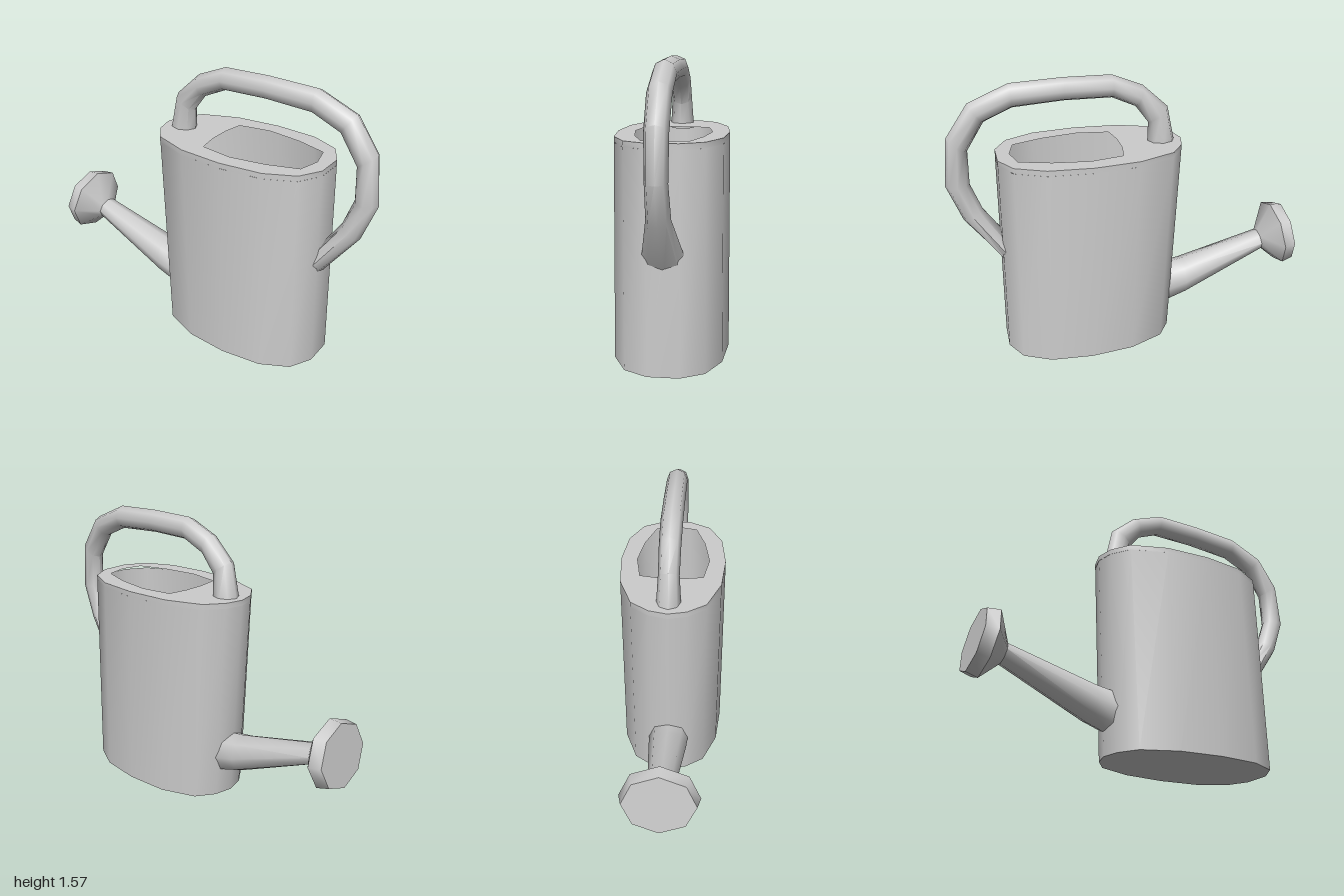
import * as THREE from 'three';
import { toCreasedNormals } from 'three/addons/utils/BufferGeometryUtils.js';

const CREASE = 0.9;

// Skin a list of rings (counter-clockwise seen from the far end), with flat caps
function loft(rings, capStart, capEnd) {
  const pos = [];
  const tri = (...pts) => pts.forEach((p) => pos.push(p.x, p.y, p.z));
  const n = rings[0].length;
  for (let i = 0; i < rings.length - 1; i++) {
    for (let j = 0; j < n; j++) {
      const k = (j + 1) % n;
      const a = rings[i][j], b = rings[i][k], c = rings[i + 1][k], d = rings[i + 1][j];
      tri(a, b, c);
      tri(a, c, d);
    }
  }
  const cap = (ring, flip) => {
    const mid = new THREE.Vector3();
    ring.forEach((p) => mid.addScaledVector(p, 1 / n));
    ring.forEach((p, j) => {
      const q = ring[(j + 1) % n];
      if (flip) tri(mid, q, p);
      else tri(mid, p, q);
    });
  };
  if (capStart) cap(rings[0], true);
  if (capEnd) cap(rings[rings.length - 1], false);
  const g = new THREE.BufferGeometry();
  g.setAttribute('position', new THREE.Float32BufferAttribute(pos, 3));
  return toCreasedNormals(g, CREASE);
}

// Elliptical ring spanning two points of the side silhouette, w = half width in z
function ring([x1, y1, x2, y2, w], sides = 8) {
  return Array.from({ length: sides }, (_, i) => {
    const a = (i / sides) * Math.PI * 2;
    const c = Math.cos(a) / 2;
    return new THREE.Vector3(
      (x1 + x2) / 2 + (x1 - x2) * c,
      (y1 + y2) / 2 + (y1 - y2) * c,
      w * Math.sin(a)
    );
  });
}

// Close a half outline by mirroring it in z
function mirrored(half) {
  const back = half.filter(([, z]) => z > 0).reverse().map(([x, z]) => [x, -z]);
  return [...half, ...back];
}

export function createModel() {
  const model = new THREE.Group();
  const grey = new THREE.MeshStandardMaterial({ color: 0xcccccc });
  const greyDouble = new THREE.MeshStandardMaterial({ color: 0xcccccc, side: THREE.DoubleSide });
  const add = (name, geometry, material = grey) => {
    const mesh = new THREE.Mesh(geometry, material);
    mesh.name = name;
    model.add(mesh);
  };

  // Body: oval can, slightly wider and shorter at the base, hollow inside
  const height = 1.17, lidThickness = 0.03;
  const outline = mirrored([
    [-0.3, 0], [-0.275, 0.1], [-0.2, 0.2], [0, 0.275], [0.25, 0.297],
    [0.49, 0.275], [0.65, 0.2], [0.72, 0.08],
  ]);
  const bodyRing = (y) => {
    const t = 1 - y / height;
    return outline.map(([x, z]) => new THREE.Vector3(
      x + t * (0.06 - 0.04 * (x + 0.3)), y, z * (1 + 0.03 * t)));
  };
  add('body', loft([bodyRing(0), bodyRing(height - lidThickness)], true, false), greyDouble);

  // Lid: flat plate with the filling opening
  const toPoints = (list) => list.map(([x, z]) => new THREE.Vector2(x, z));
  const lidShape = new THREE.Shape(toPoints(outline));
  lidShape.holes.push(new THREE.Path(toPoints(mirrored([
    [0.05, 0.06], [0.07, 0.175], [0.25, 0.205], [0.45, 0.175], [0.62, 0.12], [0.65, 0],
  ]))));
  const lid = new THREE.ExtrudeGeometry(lidShape, { depth: lidThickness, bevelEnabled: false });
  lid.rotateX(-Math.PI / 2).translate(0, height - lidThickness, 0);
  add('lid', toCreasedNormals(lid, CREASE));

  // Handle: outer x, y, inner x, y, half width
  add('handle', loft([
    [-0.265, 1.14, -0.11, 1.14, 0.067],
    [-0.22, 1.36, -0.11, 1.28, 0.056],
    [-0.08, 1.49, -0.04, 1.375, 0.058],
    [0.09, 1.56, 0.09, 1.435, 0.06],
    [0.35, 1.565, 0.35, 1.44, 0.06],
    [0.63, 1.555, 0.62, 1.425, 0.06],
    [0.845, 1.465, 0.77, 1.36, 0.06],
    [0.97, 1.285, 0.865, 1.21, 0.058],
    [0.998, 1.02, 0.87, 1.02, 0.055],
    [0.92, 0.81, 0.815, 0.87, 0.06],
    [0.7, 0.515, 0.7, 0.7, 0.108],
  ].map((r) => ring(r)), true, true));

  // Spout: lower x, y, upper x, y, half width
  add('spout', loft([
    [-0.2, 0.115, -0.2, 0.365, 0.115],
    [-0.34, 0.165, -0.33, 0.385, 0.108],
    [-0.83, 0.395, -0.81, 0.51, 0.07],
  ].map((r) => ring(r)), true, false));

  // Rose: flared sprinkler head with a flat tilted face
  add('rose', loft([
    [-0.83, 0.395, -0.81, 0.51, 0.07],
    [-0.935, 0.3, -0.885, 0.675, 0.207],
    [-1.0, 0.32, -0.955, 0.67, 0.19],
  ].map((r) => ring(r)), false, true));

  return model;
}
